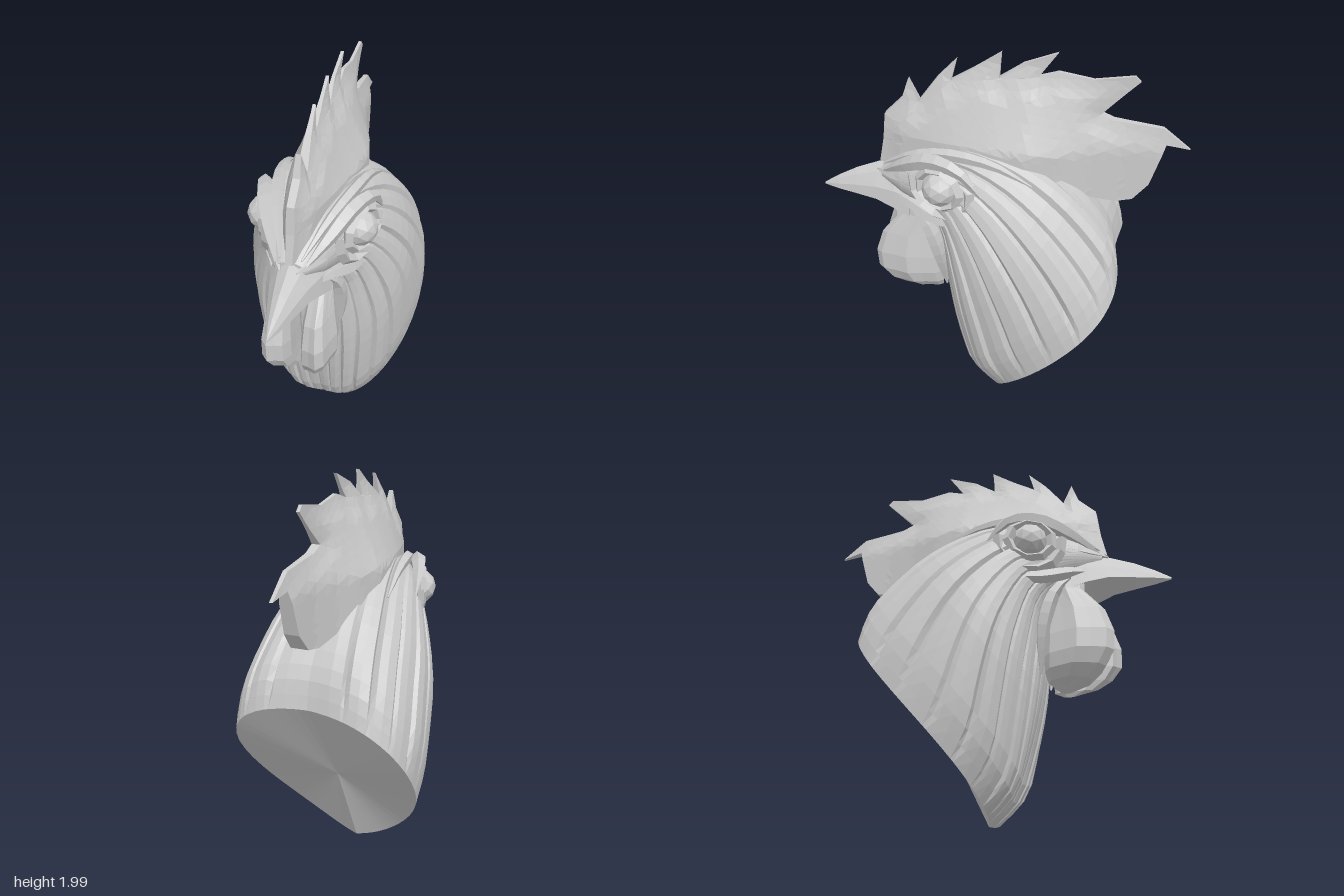
import * as THREE from 'three';

const V = (x, y, z) => new THREE.Vector3(x, y, z);
const material = new THREE.MeshStandardMaterial({ color: 0xcccccc, flatShading: true });

// Triangles (flat list of Vector3) to an outward-facing mesh
function solid(name, tris) {
  let volume = 0;
  for (let i = 0; i < tris.length; i += 3) volume += tris[i].dot(V().crossVectors(tris[i + 1], tris[i + 2]));
  if (volume < 0) for (let i = 0; i < tris.length; i += 3) [tris[i + 1], tris[i + 2]] = [tris[i + 2], tris[i + 1]];
  const geometry = new THREE.BufferGeometry().setFromPoints(tris);
  geometry.computeVertexNormals();
  const mesh = new THREE.Mesh(geometry, material);
  mesh.name = name;
  return mesh;
}

// Skin closed rings of points and cap both ends
function loft(name, rings, endCentre) {
  const tris = [], n = rings[0].length;
  for (let i = 0; i < rings.length - 1; i++) {
    for (let j = 0; j < n; j++) {
      const k = (j + 1) % n;
      const a = rings[i][j], b = rings[i][k], c = rings[i + 1][k], d = rings[i + 1][j];
      tris.push(a, b, c, a, c, d);
    }
  }
  const middle = ring => ring.reduce((s, p) => s.add(p), V(0, 0, 0)).divideScalar(n);
  const first = rings[0], last = rings[rings.length - 1];
  const c0 = middle(first), c1 = endCentre || middle(last);
  for (let j = 0; j < n; j++) {
    const k = (j + 1) % n;
    tris.push(c0, first[k], first[j], c1, last[j], last[k]);
  }
  return solid(name, tris);
}

// Tapered fold of skin along a curve
function fold(name, points, radius, sides = 5) {
  const curve = new THREE.CatmullRomCurve3(points.map(p => V(...p)));
  const steps = 10, frames = curve.computeFrenetFrames(steps);
  const rings = [];
  for (let i = 0; i <= steps; i++) {
    const r = radius * (0.12 + 0.88 * Math.sin(Math.PI * i / steps));
    const centre = curve.getPointAt(i / steps);
    rings.push(Array.from({ length: sides }, (_, j) => {
      const a = j / sides * Math.PI * 2;
      return centre.clone().addScaledVector(frames.normals[i], r * Math.cos(a))
        .addScaledVector(frames.binormals[i], r * Math.sin(a));
    }));
  }
  return loft(name, rings);
}

// Head and neck: tilted oval sections from the face back to the neck cut
function neck() {
  const front = new THREE.CatmullRomCurve3([ // x holds the half width
    [.07, 1.28, .57], [.15, 1.19, .44], [.2, 1.12, .32], [.275, 1, .27], [.35, .8, .255],
    [.405, .6, .225], [.43, .36, .165], [.44, .14, .085], [.435, .01, -.04]].map(p => V(...p)));
  const back = new THREE.CatmullRomCurve3([
    [0, 1.36, .57], [0, 1.46, .45], [0, 1.54, .28], [0, 1.57, .08], [0, 1.52, -.15],
    [0, 1.42, -.33], [0, 1.27, -.48], [0, 1.13, -.57], [0, .98, -.605]].map(p => V(...p)));
  const strands = 12, steps = 18, rings = [];
  const profile = [[0, -1], [.16, .25], [.5, .55], [.88, .35]]; // one overlapping feather strand
  for (let i = 0; i <= steps; i++) {
    const u = i / steps, F = front.getPoint(u), B = back.getPoint(u), w = F.x;
    F.x = 0;
    const centre = F.clone().add(B).multiplyScalar(.5), half = B.clone().sub(centre);
    const late = THREE.MathUtils.smoothstep(u, .5, 1);
    const at = (t0, offset) => {
      const t = t0 + .25 * u * Math.sin(t0) * (1 - Math.cos(t0)); // strands gather at the bottom point
      const c = Math.cos(t), s = Math.max(0, Math.sin(t));
      const p = centre.clone().addScaledVector(half, c * (1 + offset));
      p.x = w * Math.pow(s, c > 0 ? .85 - .1 * u : 1) * (1 + .2 * late * c) * (1 + offset);
      p.z -= .13 * late * s * c; // curved rim of the cut
      return p;
    };
    const side = [];
    for (let s = 0; s < strands; s++) {
      for (const [f, h] of profile) {
        const amp = .052 * Math.min(1, Math.max(0, u * 4 - .5)) * (.65 + .35 * Math.sin(s * 2.4 + u * 5));
        const t = (s + f) / strands * Math.PI;
        side.push(at(t, t === 0 ? 0 : h * amp * Math.min(1, (1 - u) * 6)));
      }
    }
    const mirrored = side.slice(1).reverse().map(p => V(-p.x, p.y, p.z));
    rings.push([...side, at(Math.PI, 0), ...mirrored]);
  }
  return loft('featheredNeck', rings, V(0, .5, -.28));
}

// Comb: toothed outline, divided evenly and thinned from a broad base to a sharp crest
function comb() {
  const crest = [ // z, y along the teeth
    [.59, 1.36], [.56, 1.5], [.545, 1.63], [.455, 1.72], [.42, 1.82], [.375, 1.71], [.28, 1.84],
    [.185, 1.94], [.215, 1.83], [.12, 1.89], [-.02, 1.985], [-.01, 1.86], [-.12, 1.94], [-.275, 2],
    [-.19, 1.88], [-.28, 1.91], [-.44, 1.885], [-.62, 1.915], [-.645, 1.89], [-.48, 1.72],
    [-.54, 1.695], [-.77, 1.67], [-.9, 1.57]].map(p => new THREE.Vector2(...p));
  const base = [[-.79, 1.59], [-.73, 1.38], [-.66, 1.295], [-.58, 1.28], [-.42, 1.32],
    [-.26, 1.42], [-.1, 1.49], [.1, 1.52], [.3, 1.46], [.45, 1.38]].map(p => new THREE.Vector2(...p));
  const depth = .02;
  const extruded = new THREE.ExtrudeGeometry(new THREE.Shape([...crest, ...base]), { depth, bevelEnabled: false });
  const pos = extruded.attributes.position;
  const corners = [], tris = [];
  for (let i = 0; i < pos.count; i++) corners.push(V(pos.getZ(i) - depth / 2, pos.getY(i), pos.getX(i)));
  const divide = (a, b, c) => { // halve the longest edge until all are short
    const ab = a.distanceTo(b), bc = b.distanceTo(c), ca = c.distanceTo(a);
    if (bc > ab && bc >= ca) return divide(b, c, a);
    if (ca > ab) return divide(c, a, b);
    if (ab < .06) return tris.push(a, b, c);
    const m = a.clone().lerp(b, .5);
    divide(a, m, c);
    divide(m, b, c);
  };
  for (let i = 0; i < corners.length; i += 3) divide(...corners.slice(i, i + 3));
  const widths = [[-.9, .015], [-.75, .035], [-.6, .05], [-.45, .085], [-.3, .14], [-.15, .175],
    [0, .165], [.2, .13], [.4, .08], [.6, .03]];
  const halfWidth = z => {
    const i = Math.min(widths.length - 1, Math.max(1, widths.findIndex(p => p[0] >= z)));
    const [[z0, w0], [z1, w1]] = [widths[i - 1], widths[i]];
    return THREE.MathUtils.lerp(w0, w1, (z - z0) / (z1 - z0));
  };
  const edgeDistance = q => Math.min(...crest.slice(1).map((b, i) => {
    const a = crest[i], d = b.clone().sub(a);
    const k = THREE.MathUtils.clamp(q.clone().sub(a).dot(d) / d.lengthSq(), 0, 1);
    return q.distanceTo(a.clone().addScaledVector(d, k));
  }));
  return solid('comb', tris.map(p => {
    const rise = THREE.MathUtils.clamp((2 - p.y) / .45, 0, 1);
    const rim = .5 + .5 * Math.min(1, edgeDistance(new THREE.Vector2(p.z, p.y)) / .1);
    return V(p.x * 2 / depth * Math.max(.008, halfWidth(p.z) * Math.pow(rise, 1.3) * rim), p.y, p.z);
  }));
}

// Beak: arched sections with a hollowed underside
function beak() {
  const sections = [[.9, 1.192, 1.182, .004], [.82, 1.245, 1.183, .035], [.72, 1.3, 1.185, .065],
    [.6, 1.35, 1.185, .1], [.5, 1.39, 1.16, .13], [.42, 1.4, 1.13, .15]];
  return loft('beak', sections.map(([z, top, low, w]) => {
    const h = top - low;
    const half = [[w * .5, top - h * .2], [w * .9, top - h * .6], [w, low]];
    return [V(0, top, z), ...half.map(p => V(p[0], p[1], z)), V(0, low + h * .3, z),
      ...half.reverse().map(p => V(-p[0], p[1], z))];
  }));
}

// Wattle: hanging lobe with soft pleats
function wattle() {
  const rows = [ // y, z centre, z radius, x centre, x radius
    [1.22, .4, .08, .08, .05], [1.12, .39, .09, .09, .055], [1, .43, .15, .095, .07], [.88, .445, .175, .1, .083],
    [.78, .44, .175, .1, .085], [.71, .415, .15, .088, .076], [.66, .385, .11, .065, .055], [.635, .36, .04, .05, .025]];
  return loft('wattle', rows.map(([y, zc, rz, xc, rx]) => Array.from({ length: 14 }, (_, j) => {
    const a = j / 14 * Math.PI * 2, r = j % 3 === 1 ? .88 : 1;
    return V(xc + rx * r * Math.cos(a), y + .015 * Math.cos(a), zc + rz * r * Math.sin(a));
  })));
}

// Eye with lids, brow and cheek folds, on the +x side
function faceSide() {
  const side = new THREE.Group();
  const eye = new THREE.Group();
  eye.name = 'eye';
  eye.position.set(.215, 1.375, .23);
  eye.rotation.y = Math.PI / 2 - .35;
  const part = (name, geometry, z) => {
    const mesh = new THREE.Mesh(geometry, material);
    mesh.name = name;
    mesh.position.z = z;
    eye.add(mesh);
    return mesh;
  };
  part('eyeball', new THREE.IcosahedronGeometry(.088, 1), .015);
  part('eyelid', new THREE.TorusGeometry(.112, .027, 4, 9), .025).scale.y = .9;
  part('lowerLid', new THREE.TorusGeometry(.16, .03, 4, 7, Math.PI * 1.1), .01).rotation.z = Math.PI * .95;
  side.add(eye,
    fold('brow', [[.06, 1.33, .57], [.14, 1.43, .43], [.21, 1.505, .27], [.265, 1.49, .13], [.285, 1.38, .03]], .042),
    fold('upperBrow', [[.05, 1.37, .56], [.12, 1.48, .38], [.18, 1.53, .18], [.21, 1.51, -.02], [.23, 1.43, -.2]], .03),
    fold('noseFold', [[.04, 1.33, .6], [.1, 1.34, .48], [.17, 1.36, .37]], .03),
    fold('cheekFold', [[.07, 1.23, .56], [.13, 1.22, .43], [.2, 1.18, .28], [.27, 1.18, .08]], .036),
    fold('throatFold', [[.11, 1.23, .45], [.15, 1.12, .34], [.15, .95, .28], [.11, .7, .25]], .04),
    wattle());
  return side;
}

export function createModel() {
  const model = new THREE.Group();
  model.name = 'roosterHead';
  const left = faceSide(), right = faceSide();
  left.name = 'leftFace';
  right.name = 'rightFace';
  right.scale.x = -1;
  model.add(neck(), comb(), beak(), left, right);
  return model;
}
